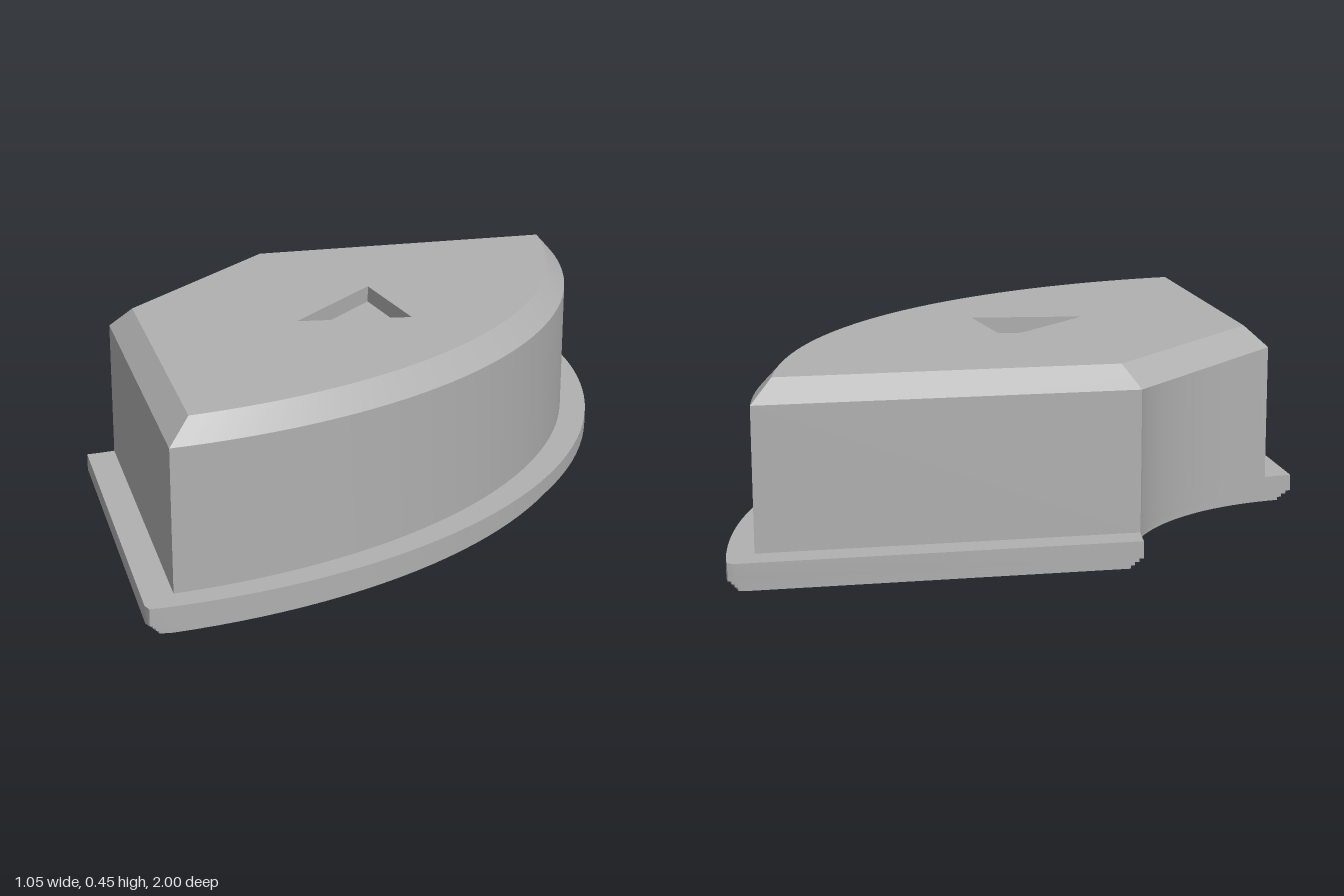
import * as THREE from 'three';
import { mergeGeometries, toCreasedNormals } from 'three/addons/utils/BufferGeometryUtils.js';

const CENTRE = -0.93; // x of the centre of the concave inner wall

// Outlines are counter-clockwise [x, y] points; y becomes -z in the model.
const toShape = pts => new THREE.Shape(pts.map(p => new THREE.Vector2(p[0], p[1])));
const ngon = (n, r, cx, turn = 0) => Array.from({ length: n }, (_, i) => {
  const a = turn + i * 2 * Math.PI / n;
  return [cx + r * Math.cos(a), r * Math.sin(a)];
});

// Bulging arc from (x0, -z0) through (xm, 0) to (x0, z0)
function outerArc(x0, z0, xm, n = 40) {
  const h = xm - x0, R = (h * h + z0 * z0) / (2 * h), a = Math.asin(z0 / R);
  return Array.from({ length: n + 1 }, (_, i) => {
    const t = -a + 2 * a * i / n;
    return [xm - R + R * Math.cos(t), R * Math.sin(t)];
  });
}

// Concave arc that ends on the 45 degree side lines z = x + c
function innerArc(c, r, n = 24) {
  const k = c + CENTRE;
  const u = (-k + Math.sqrt(2 * r * r - k * k)) / 2;
  const a = Math.acos(u / r);
  return Array.from({ length: n + 1 }, (_, i) => {
    const t = a - 2 * a * i / n;
    return [CENTRE + r * Math.cos(t), r * Math.sin(t)];
  });
}

// Flange outline, inset by d, with blunted corners
function flangeOutline(d) {
  const corner = [[0.125, 1 - 1.3 * d], [0.108, 0.993 - 1.414 * d]];
  return [
    ...outerArc(0.145, 0.982 - 1.15 * d, 0.525 - d),
    ...corner,
    ...innerArc(0.885 - 1.414 * d, 0.535 + d),
    ...corner.map(([x, y]) => [x, -y]).reverse(),
  ];
}

// Vertical slab with an optional hole
function slab(pts, y0, y1, hole) {
  const shape = toShape(pts);
  if (hole) shape.holes.push(toShape(hole));
  const g = new THREE.ExtrudeGeometry(shape, { depth: y1 - y0, bevelEnabled: false });
  g.rotateX(-Math.PI / 2).translate(0, y0, 0);
  return toCreasedNormals(g, 0.5);
}

// Wall between two outlines with the same number of points
function loft(a, y0, b, y1) {
  const pos = [];
  const put = (p, y) => pos.push(p[0], y, -p[1]);
  a.forEach((p, i) => {
    const j = (i + 1) % a.length;
    put(p, y0); put(a[j], y0); put(b[j], y1);
    put(p, y0); put(b[j], y1); put(b[i], y1);
  });
  const g = new THREE.BufferGeometry();
  g.setAttribute('position', new THREE.Float32BufferAttribute(pos, 3));
  g.computeVertexNormals();
  return toCreasedNormals(g, 0.5);
}

// Flat horizontal face, facing up or down
function face(pts, y, up = true, hole) {
  const shape = toShape(pts);
  if (hole) shape.holes.push(toShape(hole));
  let g = new THREE.ShapeGeometry(shape);
  if (up) g.rotateX(-Math.PI / 2);
  else g.rotateX(Math.PI / 2).scale(1, 1, 1);
  g.translate(0, y, 0);
  g = g.toNonIndexed();
  g.deleteAttribute('uv');
  return g;
}

export function createModel() {
  const model = new THREE.Group();
  const grey = new THREE.MeshStandardMaterial({ color: 0xb0b0b0 });
  grey.name = 'grey plastic';
  const add = (name, geometry) => {
    const mesh = new THREE.Mesh(geometry, grey);
    mesh.name = name;
    model.add(mesh);
  };

  // Flange: three thin steps below a thicker rim
  const holeX = 0.05;
  const mouth = ngon(6, 0.2, holeX);
  const bore = ngon(6, 0.16, holeX, Math.PI / 6);
  [[0.025, 0, 0.01], [0.017, 0.01, 0.02], [0.009, 0.02, 0.03], [0, 0.03, 0.07]]
    .forEach(([d, y0, y1], i) =>
      add(i < 3 ? 'flangeStep' + (i + 1) : 'flangeRim', slab(flangeOutline(d), y0, y1, mouth)));

  // Faceted lip leading into the socket underneath
  add('socketLip', loft([...mouth].reverse(), 0, [...bore].reverse(), 0.07));

  // Body with concave inner wall
  const arc = outerArc(0.125, 0.912, 0.455);
  add('body', slab([...arc, ...innerArc(0.787, 0.535)], 0.07, 0.4, bore));

  // Chamfered cap with a straight inner edge and a triangular recess
  const low = [...arc, [-0.487, 0.3], [-0.487, -0.3]];
  const high = [...outerArc(0.125, 0.84, 0.405), [-0.425, 0.287], [-0.425, -0.287]];
  const arrow = [[-0.025, -0.17], [0.195, 0], [-0.025, 0.17]];
  const capParts = [
    loft(low, 0.4, high, 0.45),
    face(high, 0.45, true, arrow),
    face(low, 0.4, false),
  ];
  add('cap', mergeGeometries(capParts));

  const cw = [...arrow].reverse();
  add('arrowRecess', mergeGeometries([loft(cw, 0.41, cw, 0.45), face(arrow, 0.41)]));

  return model;
}
